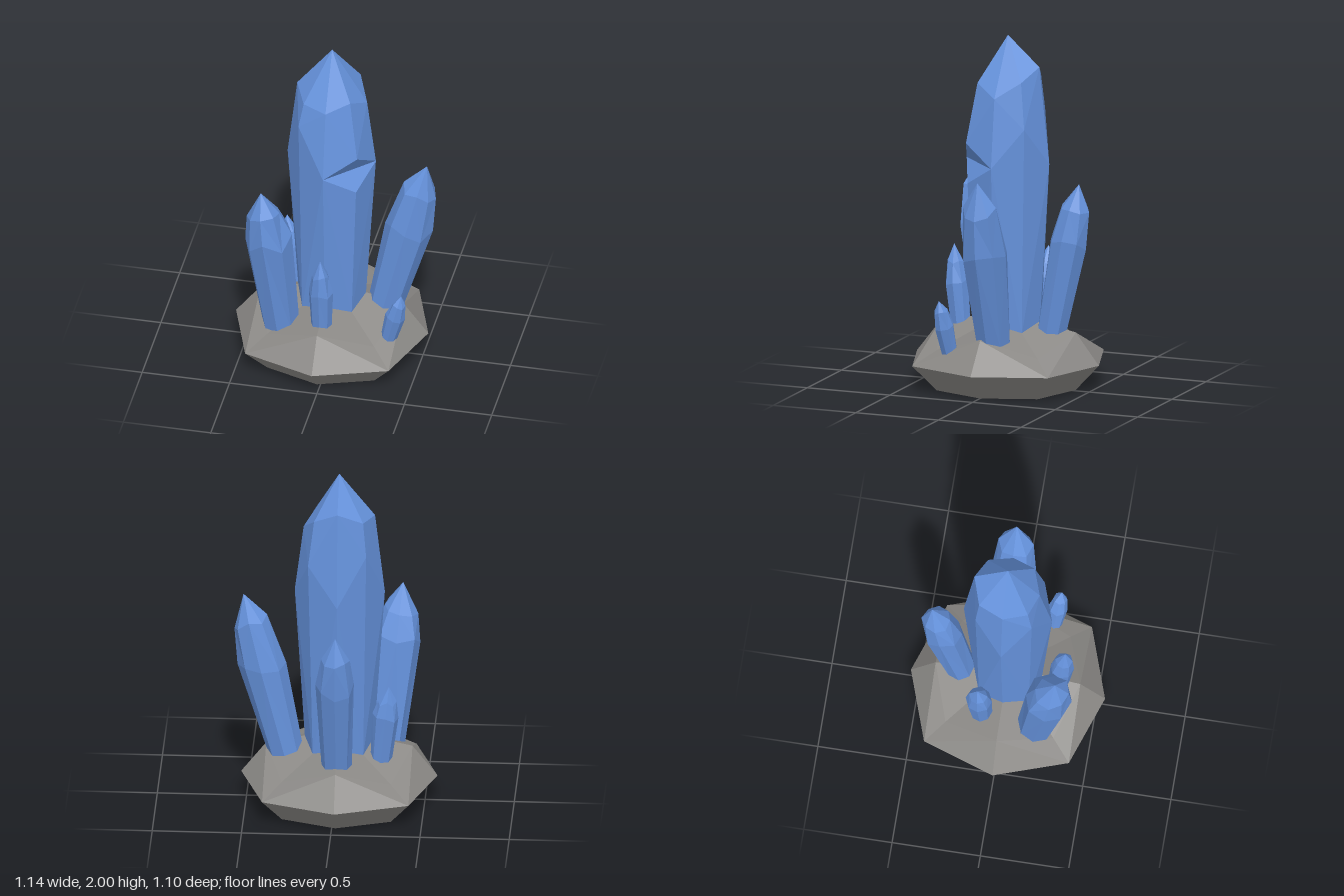
import * as THREE from 'three';

const SIDES = 8;

// Skin stacked octagonal rings (bottom to top) and close them with a tip; the bottom stays open.
function loft(rings, tip) {
  const pos = [];
  const tri = (a, b, c) => {
    if (a.distanceTo(b) > 1e-5 && b.distanceTo(c) > 1e-5 && a.distanceTo(c) > 1e-5) {
      for (const p of [a, b, c]) pos.push(p.x, p.y, p.z);
    }
  };
  for (let k = 0; k < rings.length; k++) {
    const low = rings[k], high = rings[k + 1];
    for (let i = 0; i < SIDES; i++) {
      const j = (i + 1) % SIDES;
      if (!high) {
        tri(low[i], low[j], tip);
      } else if (i % 2) {
        tri(low[i], low[j], high[j]);
        tri(low[i], high[j], high[i]);
      } else {
        tri(low[i], low[j], high[i]);
        tri(low[j], high[j], high[i]);
      }
    }
  }
  const g = new THREE.BufferGeometry();
  g.setAttribute('position', new THREE.Float32BufferAttribute(pos, 3));
  g.computeVertexNormals();
  return g;
}

// Octagon starting at +z and turning towards +x; radius and height may depend on the corner.
function ring(radius, height) {
  const at = (v, i) => (typeof v === 'function' ? v(i) : v);
  return Array.from({ length: SIDES }, (_, i) => {
    const a = (i / SIDES) * Math.PI * 2, r = at(radius, i);
    return new THREE.Vector3(Math.sin(a) * r, at(height, i), Math.cos(a) * r);
  });
}

function randomFrom(seed) {
  let s = seed;
  return () => (s = (s * 16807) % 2147483647) / 2147483647;
}

// Leaning crystal from base to tip: narrow foot, wide middle, uneven shoulder, point.
function crystal(base, tip, [r0, r1, r2], [t1, t2], seed) {
  const rnd = randomFrom(seed * 7919);
  const axis = new THREE.Vector3(...tip).sub(new THREE.Vector3(...base));
  const len = axis.length();
  const wobble = (v, amount) => () => v * (1 + (rnd() - 0.5) * amount);
  const g = loft([
    ring(r0, 0),
    ring(wobble(r1, 0.12), wobble(len * t1, 0.14)),
    ring(wobble(r2, 0.2), wobble(len * t2, 0.08)),
  ], new THREE.Vector3(0, len, 0));
  g.applyQuaternion(new THREE.Quaternion().setFromUnitVectors(
    new THREE.Vector3(0, 1, 0), axis.normalize()));
  g.translate(...base);
  return g;
}

export function createModel() {
  const group = new THREE.Group();
  const mat = (name, color) => new THREE.MeshStandardMaterial({
    name, color, flatShading: true, side: THREE.DoubleSide });
  const rock = mat('grey rock', 0x8b8986);
  const blue = mat('blue crystal', 0x6592dc);
  const add = (name, geometry, material) => {
    const mesh = new THREE.Mesh(geometry, material);
    mesh.name = name;
    group.add(mesh);
  };

  // Faceted rock, hollow below; its diagonal corners sag below the others
  const outline = (s) => (i) => s * (i % 2 ? 0.58 : 0.55);
  const base = loft([
    ring(outline(0.745), 0),
    ring(outline(1), 0.15),
    ring(outline(0.745), (i) => (i % 2 ? 0.23 : 0.33)),
  ], new THREE.Vector3(0, 0.42, 0));
  base.translate(-0.02, 0, 0);
  add('rockBase', base, rock);

  // Central crystal, with a wedge notch cut in to the chord of its front left corner (corner 1)
  const middleR = [0.25, 0.25, 0.25, 0.235, 0.25, 0.225, 0.255, 0.225];
  const middleY = [1.28, 1.4, 1.28, 1.5, 1.28, 1.56, 1.28, 1.56];
  const shoulderR = [0.18, 0.185, 0.2, 0.19, 0.19, 0.2, 0.2, 0.19];
  const shoulderY = [1.68, 1.74, 1.67, 1.76, 1.83, 1.76, 1.75, 1.7];
  const middle = (notchR, notchY) => ring(
    (i) => (i === 1 ? notchR : middleR[i]),
    (i) => (i === 1 ? notchY : middleY[i]));
  const center = loft([
    ring((i) => (i % 2 ? 0.2 : 0.19), 0.32),
    middle(0.245, 1.17),
    middle(0.25 * Math.SQRT1_2, 1.28),
    middle(0.255, 1.4),
    ring((i) => shoulderR[i], (i) => shoulderY[i]),
  ], new THREE.Vector3(0, 2, 0));
  center.translate(-0.02, 0, 0);
  add('centralCrystal', center, blue);

  // Surrounding crystals: name, base, tip, ring radii, ring positions along the axis
  const spikes = [
    ['frontRightCrystal', [-0.27, 0.25, 0.195], [-0.36, 1.19, 0.32], [0.105, 0.135, 0.095], [0.66, 0.84]],
    ['leftCrystal', [0.28, 0.31, -0.035], [0.515, 1.26, -0.035], [0.1, 0.13, 0.105], [0.56, 0.82]],
    ['backCrystal', [-0.02, 0.32, -0.265], [-0.02, 1.18, -0.43], [0.085, 0.108, 0.082], [0.62, 0.82]],
    ['smallFrontCrystal', [-0.02, 0.31, 0.285], [-0.02, 0.78, 0.325], [0.058, 0.068, 0.045], [0.53, 0.78]],
    ['smallLeftCrystal', [0.345, 0.225, 0.2], [0.425, 0.545, 0.235], [0.045, 0.055, 0.038], [0.52, 0.8]],
    ['smallBackCrystal', [-0.26, 0.29, -0.11], [-0.305, 0.75, -0.128], [0.06, 0.073, 0.052], [0.62, 0.8]],
  ];
  spikes.forEach(([name, from, to, radii, steps], i) =>
    add(name, crystal(from, to, radii, steps, i + 3), blue));

  return group;
}
